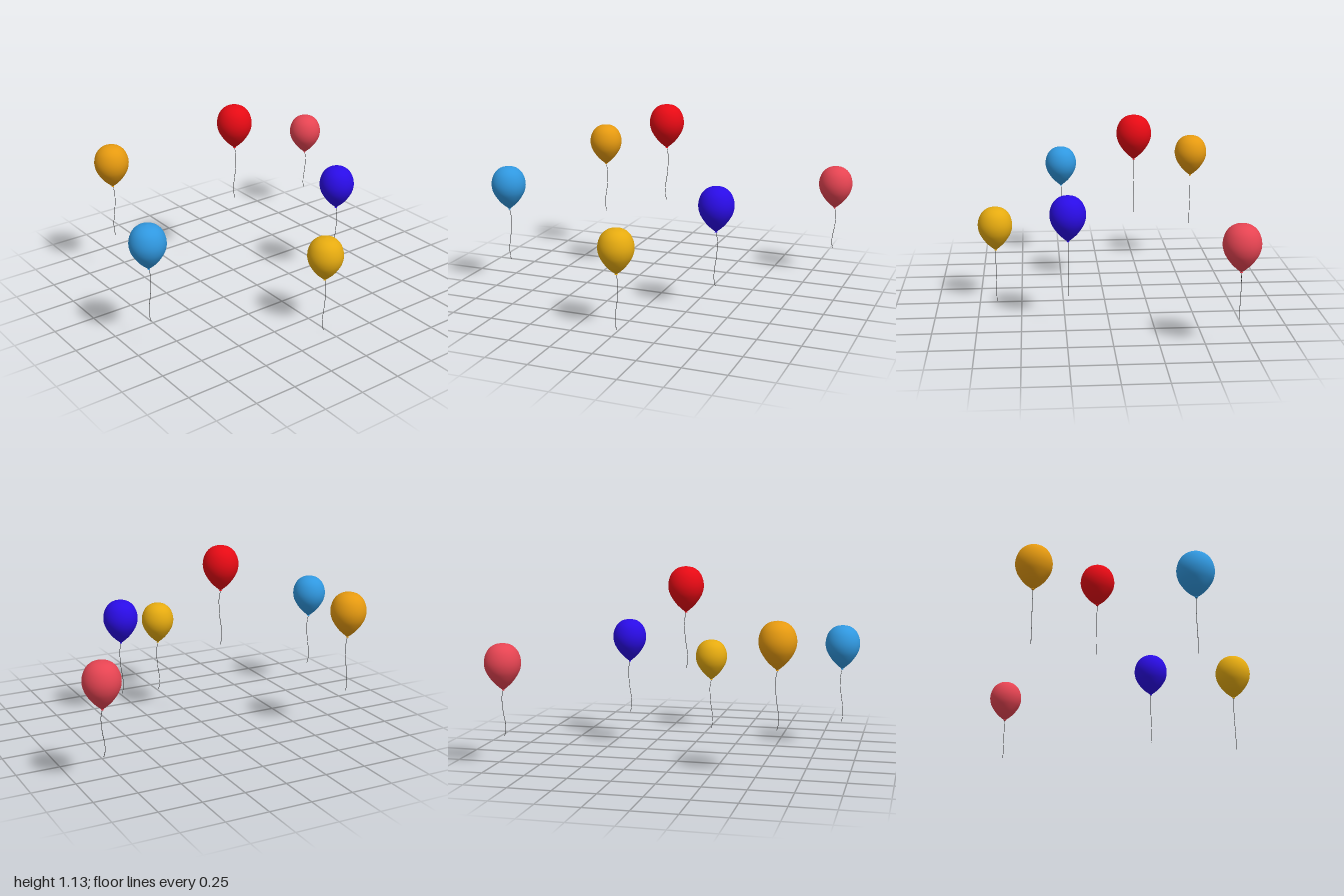
import * as THREE from 'three';

// Balloon outline from the knot up to the crown, as [radius, height] from the crown
const outline = new THREE.SplineCurve([
  [0.006, -0.261], [0.027, -0.244], [0.052, -0.220], [0.076, -0.188],
  [0.094, -0.154], [0.102, -0.115], [0.097, -0.075], [0.079, -0.037],
  [0.046, -0.010], [0, 0],
].map(([r, y]) => new THREE.Vector2(r, y)));

// Gentle S-shaped string, as [sideways drift, fraction of length]
const sway = [[0, 0], [-0.009, 0.15], [-0.009, 0.27], [-0.003, 0.5], [0.007, 0.7], [0.009, 0.85], [0.006, 0.94], [0, 1]];

function createBalloon(name, color, x, top, z, stringLength) {
  const balloon = new THREE.Group();
  balloon.name = name;
  balloon.position.set(x, top, z);

  // Inflated body
  const points = outline.getPoints(32).map(p => new THREE.Vector2(Math.max(p.x, 0), p.y));
  const body = new THREE.Mesh(
    new THREE.LatheGeometry(points, 40),
    new THREE.MeshStandardMaterial({ color }),
  );
  body.name = 'balloonBody';

  // Flared knot under the body
  const knot = new THREE.Mesh(
    new THREE.CylinderGeometry(0.005, 0.008, 0.006, 16),
    body.material,
  );
  knot.name = 'knot';
  knot.position.y = -0.263;

  // Hanging string
  const path = new THREE.CatmullRomCurve3(
    sway.map(([dz, t]) => new THREE.Vector3(0, -0.264 - t * stringLength, dz)),
  );
  const string = new THREE.Mesh(
    new THREE.TubeGeometry(path, 40, 0.0014, 6),
    new THREE.MeshStandardMaterial({ color: 0x333333 }),
  );
  string.name = 'string';

  balloon.add(body, knot, string);
  return balloon;
}

export function createModel() {
  const model = new THREE.Group();
  model.name = 'balloons';
  // name, color, x, crown height, z, string length
  [
    ['redBalloon', 0xe60a14, -0.175, 1.128, 0.035, 0.325],
    ['orangeBalloon', 0xe69a10, -0.602, 0.883, 0.63, 0.325],
    ['pinkBalloon', 0xe64452, -0.655, 0.722, -0.898, 0.262],
    ['lightBlueBalloon', 0x3098e0, 0.232, 0.763, 0.898, 0.322],
    ['indigoBalloon', 0x2a0ce6, 0.232, 0.763, -0.42, 0.322],
    ['yellowBalloon', 0xe6ab10, 0.65, 0.59, 0.012, 0.325],
  ].forEach(spec => model.add(createBalloon(...spec)));
  return model;
}
